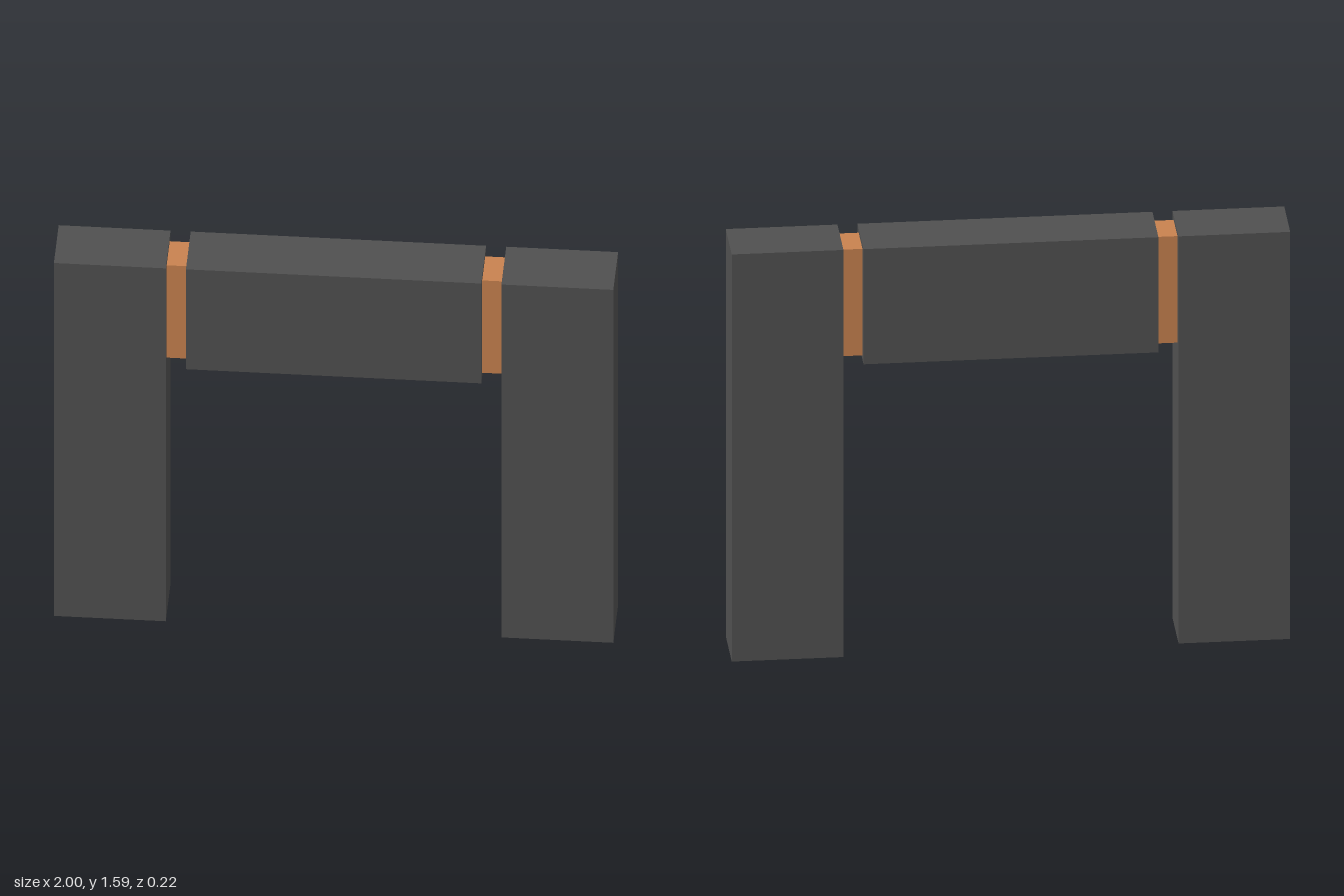
import * as THREE from 'three';

const DARK = new THREE.MeshStandardMaterial({ color: 0x505050 });
const ORANGE = new THREE.MeshStandardMaterial({ color: 0xc8824f });

// Box given by its x and y extents and its depth, centred on z = 0
function block(name, x0, x1, y0, y1, depth, material) {
  const mesh = new THREE.Mesh(new THREE.BoxGeometry(x1 - x0, y1 - y0, depth), material);
  mesh.position.set((x0 + x1) / 2, (y0 + y1) / 2, 0);
  mesh.name = name;
  return mesh;
}

export function createModel() {
  const group = new THREE.Group();
  group.name = 'gateway';
  const top = 1.594, depth = 0.22;
  const legInner = 0.6, beamEnd = 0.528;

  // Lintel between the legs
  group.add(block('crossbeam', -beamEnd, beamEnd, 1.143, top, depth, DARK));

  // Upright leg and recessed connector on each side
  for (const [side, s] of [['left', 1], ['right', -1]]) {
    const span = (a, b) => (s > 0 ? [a, b] : [-b, -a]);
    group.add(block(side + 'Leg', ...span(legInner, 1), 0, top, depth, DARK));
    group.add(block(side + 'Connector', ...span(beamEnd, legInner), 1.16, 1.577, 0.14, ORANGE));
  }
  return group;
}
